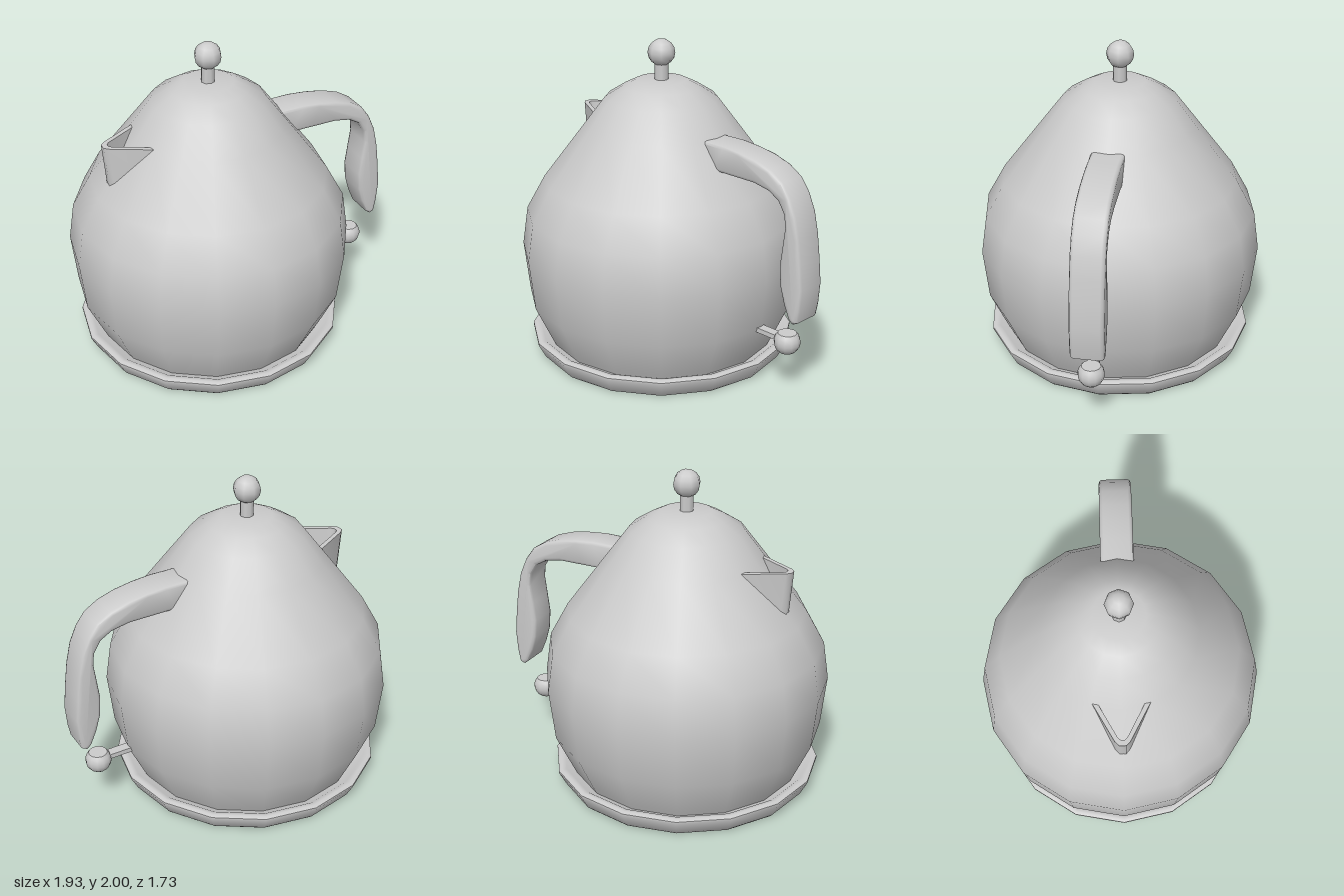
import * as THREE from 'three';
import { toCreasedNormals } from 'three/addons/utils/BufferGeometryUtils.js';

const material = new THREE.MeshStandardMaterial({ color: 0xcccccc });
const vec = (list) => list.map(([x, y]) => new THREE.Vector2(x, y));

export function createModel() {
  const model = new THREE.Group();
  // Everything is built with the handle along +x, then turned about the body axis.
  const kettle = new THREE.Group();
  kettle.name = 'kettle';
  kettle.position.x = -0.1;
  kettle.rotation.y = THREE.MathUtils.degToRad(32.5);
  model.add(kettle);

  const add = (name, geometry, x = 0, y = 0, z = 0) => {
    const mesh = new THREE.Mesh(geometry, material);
    mesh.name = name;
    mesh.position.set(x, y, z);
    kettle.add(mesh);
    return mesh;
  };
  const lathe = (points, sides) => new THREE.LatheGeometry(vec(points), sides);

  // Pear-shaped body, closed at the top
  add('body', lathe([
    [0.7, 0.05], [0.74, 0.13], [0.845, 0.36], [0.88, 0.68], [0.845, 0.92], [0.73, 1.13],
    [0.47, 1.475], [0.345, 1.64], [0.235, 1.71], [0.155, 1.75], [0, 1.75],
  ], 16));

  // Base plate with flared side and shallow lip
  add('basePlate', toCreasedNormals(lathe([
    [0, 0.005], [0.775, 0.005], [0.79, 0.02], [0.835, 0.105], [0.835, 0.12],
    [0.815, 0.13], [0.785, 0.125], [0.74, 0.09], [0, 0.09],
  ], 16), 0.75));

  // Lid knob
  add('knobStem', new THREE.CylinderGeometry(0.042, 0.042, 0.14, 8), 0, 1.8, 0);
  add('knobBall', new THREE.SphereGeometry(0.084, 8, 8), 0, 1.916, 0);

  // Handle: side outline with rounded edges
  const bevel = 0.022;
  const width = 0.2;
  const outline = new THREE.Shape(vec([
    [0.41, 1.475], [0.6, 1.48], [0.72, 1.47], [0.84, 1.45], [0.95, 1.415], [1.04, 1.36],
    [1.1, 1.28], [1.145, 1.18], [1.175, 1.05], [1.195, 0.9], [1.21, 0.75], [1.2, 0.62],
    [1.185, 0.54], [1.155, 0.525], [1.125, 0.55], [1.085, 0.64], [1.055, 0.74], [1.045, 0.86],
    [1.06, 0.98], [1.075, 1.1], [1.065, 1.18], [1.02, 1.25], [0.95, 1.29], [0.84, 1.31],
    [0.68, 1.31], [0.52, 1.31],
  ]));
  const handle = new THREE.ExtrudeGeometry(outline, {
    depth: width - 2 * bevel, bevelThickness: bevel, bevelSize: bevel,
    bevelOffset: -bevel, bevelSegments: 2,
  });
  handle.translate(0, 0, -width / 2 + bevel);
  add('handle', toCreasedNormals(handle, 0.8));

  // Spout: thin V wall, drawn in slightly towards the bottom
  const height = 0.275;
  const half = [[-0.42, 0.175], [-0.66, 0.045], [-0.685, 0.02]];
  const inner = [[-0.65, 0.012], [-0.635, 0.028], [-0.42, 0.143]];
  const flip = (list) => list.map(([x, y]) => [x, -y]).reverse();
  const spout = new THREE.ExtrudeGeometry(
    new THREE.Shape(vec([...half, ...flip(half), ...flip(inner), ...inner])),
    { depth: height, bevelEnabled: false },
  );
  spout.rotateX(-Math.PI / 2);
  const pos = spout.attributes.position;
  for (let i = 0; i < pos.count; i++) {
    pos.setX(i, pos.getX(i) + 0.025 * (1 - pos.getY(i) / height));
  }
  add('spout', toCreasedNormals(spout, 0.8), 0, 1.205, 0);

  // Switch: flat arm ending in a ball with its top cut level
  add('switchArm', new THREE.BoxGeometry(0.27, 0.03, 0.06), 0.91, 0.362, 0);
  const ball = [];
  for (let i = 0; i <= 8; i++) {
    const a = -Math.PI / 2 + (i / 8) * (Math.PI / 2 + 0.77);
    ball.push([0.08 * Math.cos(a), 0.08 * Math.sin(a)]);
  }
  ball.push([0, ball[8][1]]);
  add('switchBall', toCreasedNormals(lathe(ball, 12), 0.7), 1.05, 0.352, 0);

  return model;
}
